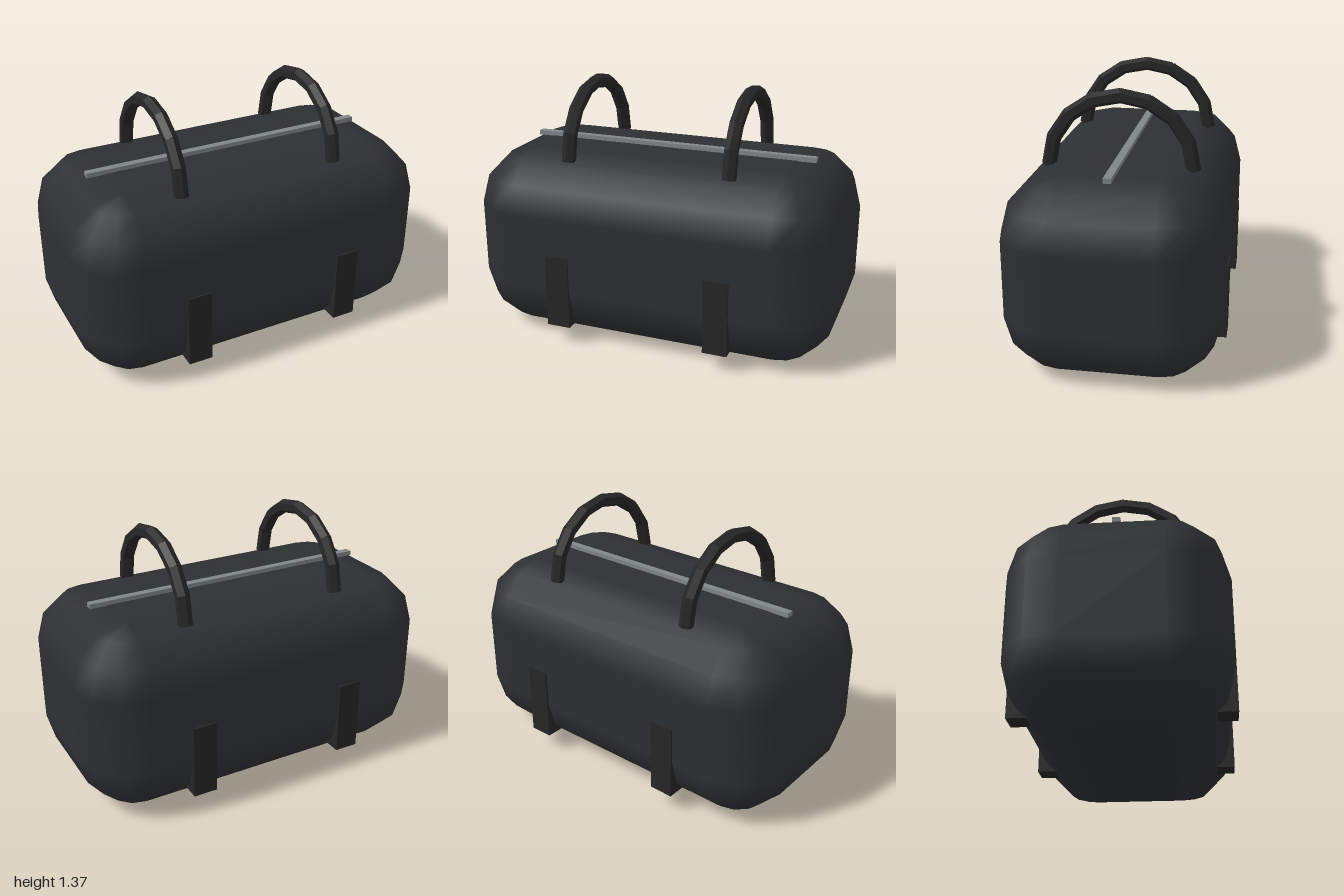
import * as THREE from 'three';

const RADIUS = 0.3, STEPS = 3;

// Box with rounded edges: stacked rings of four quarter arcs, closed by flat caps
function roundedBox(w, h, d) {
  const pos = [], nor = [], idx = [];
  const cx = w / 2 - RADIUS, cy = h / 2 - RADIUS, cz = d / 2 - RADIUS;
  const corners = [[1, 1], [-1, 1], [-1, -1], [1, -1]];
  const per = STEPS + 1, cols = 4 * per, rows = 2 * per;
  const quarter = Math.PI / 2;
  for (let r = 0; r < rows; r++) {
    const top = r < per;
    const phi = top ? (r / STEPS) * quarter : quarter + ((r - per) / STEPS) * quarter;
    for (let c = 0; c < cols; c++) {
      const k = Math.floor(c / per), [sx, sz] = corners[k];
      const a = (k + (c % per) / STEPS) * quarter;
      const n = [Math.sin(phi) * Math.cos(a), Math.cos(phi), Math.sin(phi) * Math.sin(a)];
      nor.push(...n);
      pos.push(sx * cx + RADIUS * n[0], (top ? cy : -cy) + RADIUS * n[1], sz * cz + RADIUS * n[2]);
    }
  }
  for (let r = 0; r < rows - 1; r++) {
    for (let c = 0; c < cols; c++) {
      const a = r * cols + c, b = r * cols + (c + 1) % cols;
      idx.push(a, b, b + cols, a, b + cols, a + cols);
    }
  }
  const e = (rows - 1) * cols;
  idx.push(0, 2 * per, per, 0, 3 * per, 2 * per);
  idx.push(e, e + per, e + 2 * per, e, e + 2 * per, e + 3 * per);
  const geo = new THREE.BufferGeometry();
  geo.setAttribute('position', new THREE.Float32BufferAttribute(pos, 3));
  geo.setAttribute('normal', new THREE.Float32BufferAttribute(nor, 3));
  geo.setIndex(idx);
  return geo;
}

// Arched handle made of eight short hexagonal links
function makeHandle(material) {
  const handle = new THREE.Group();
  const link = new THREE.CylinderGeometry(0.0375, 0.0375, 0.152, 6);
  const point = (i) => {
    const a = (i / 8) * Math.PI;
    return new THREE.Vector3(0, 0.975 + 0.357 * Math.sin(a), 0.365 * Math.cos(a));
  };
  for (let i = 0; i < 8; i++) {
    const p = point(i), q = point(i + 1);
    const mesh = new THREE.Mesh(link, material);
    mesh.name = 'handleLink';
    mesh.position.copy(p).add(q).multiplyScalar(0.5);
    mesh.rotation.x = Math.atan2(q.z - p.z, q.y - p.y);
    handle.add(mesh);
  }
  return handle;
}

export function createModel() {
  const model = new THREE.Group();
  model.name = 'duffelBag';
  const fabric = new THREE.MeshStandardMaterial({ color: 0x2d3033 });
  const webbing = new THREE.MeshStandardMaterial({ color: 0x262626, flatShading: true });
  const metal = new THREE.MeshStandardMaterial({ color: 0x808588 });

  const add = (geometry, material, name, x, y, z) => {
    const mesh = new THREE.Mesh(geometry, material);
    mesh.name = name;
    mesh.position.set(x, y, z);
    model.add(mesh);
  };

  add(roundedBox(2, 1, 1.1), fabric, 'bagBody', 0, 0.5, 0);
  add(new THREE.BoxGeometry(1.6, 0.025, 0.04), metal, 'zipper', 0, 1.01, 0);

  // Straps show on both the front and the back, below each handle
  for (const side of [-1, 1]) {
    const name = side > 0 ? 'left' : 'right';
    add(new THREE.BoxGeometry(0.13, 0.4, 1.12), webbing, name + 'Strap', side * 0.44, 0.3, 0);
    const handle = makeHandle(webbing);
    handle.name = name + 'Handle';
    handle.position.x = side * 0.44;
    model.add(handle);
  }
  return model;
}
